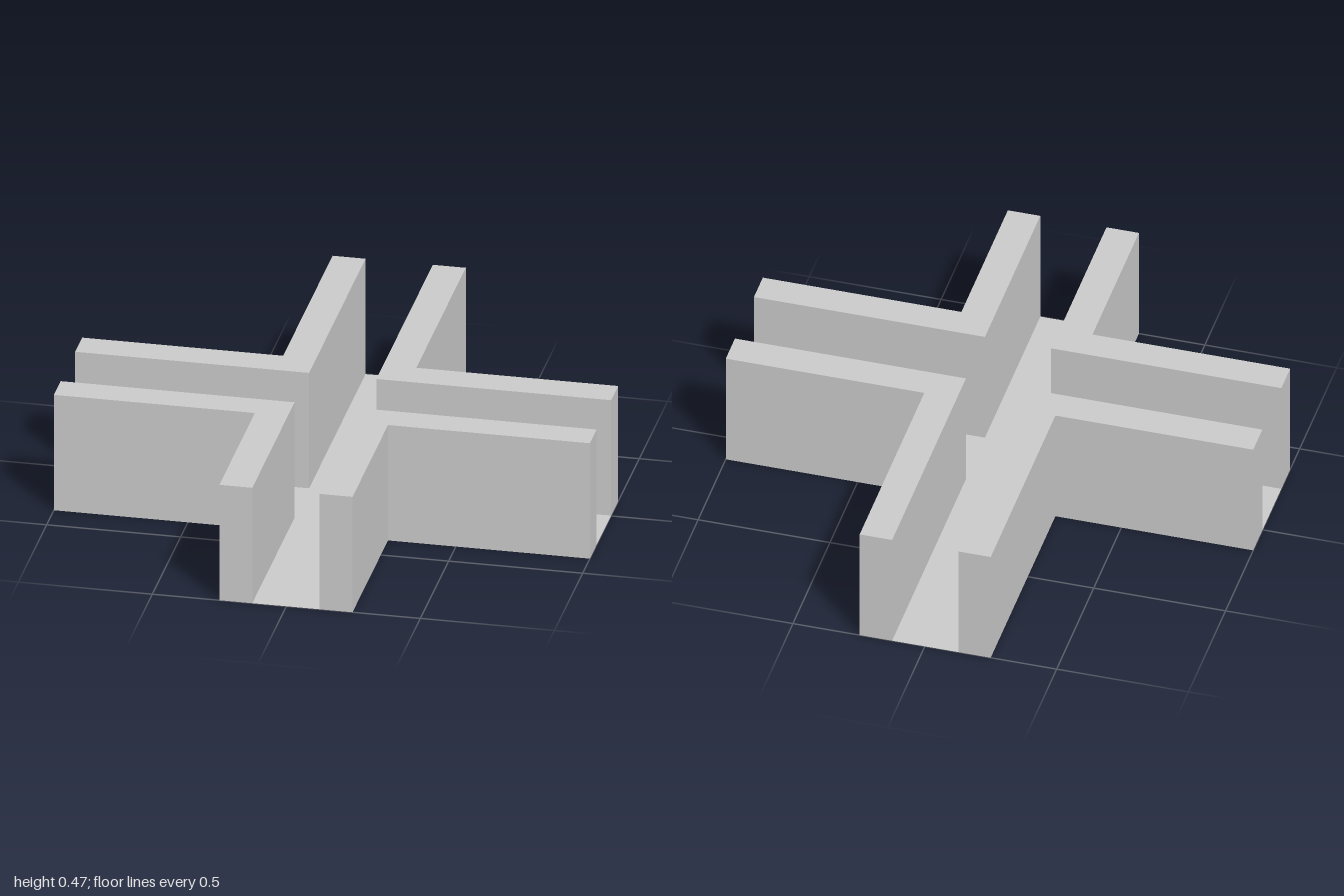
import * as THREE from 'three';

const HEIGHT = 0.466;
// channel edges (inner) and outer wall faces on each side
const X = { '-1': { inner: -0.127, outer: -0.25 }, '1': { inner: 0.124, outer: 0.247 } };
const Z = { '-1': { inner: -0.003, outer: -0.127 }, '1': { inner: 0.253, outer: 0.373 } };

const material = new THREE.MeshStandardMaterial({
  color: 0xcccccc, flatShading: true, side: THREE.DoubleSide,
});

// plan outline given as [x, z] points; shape y is -z so it lies flat after rotation
const planShape = (points) => new THREE.Shape(points.map(([x, z]) => new THREE.Vector2(x, -z)));

// drop the downward faces so the wall is hollow and open underneath
function openBottom(geometry) {
  const p = geometry.attributes.position, n = geometry.attributes.normal;
  const kept = [];
  for (let i = 0; i < p.count; i++) {
    if (n.getY(i) > -0.5) kept.push(p.getX(i), p.getY(i), p.getZ(i));
  }
  const result = new THREE.BufferGeometry();
  result.setAttribute('position', new THREE.Float32BufferAttribute(kept, 3));
  result.computeVertexNormals();
  return result;
}

// L-shaped wall around one corner of the crossing
function cornerWall(sx, sz) {
  const x = X[sx], z = Z[sz];
  const shape = planShape([
    [x.inner, z.inner], [sx, z.inner], [sx, z.outer],
    [x.outer, z.outer], [x.outer, sz], [x.inner, sz],
  ]);
  const geometry = new THREE.ExtrudeGeometry(shape, { depth: HEIGHT, bevelEnabled: false });
  geometry.rotateX(-Math.PI / 2);
  const wall = new THREE.Mesh(openBottom(geometry), material);
  wall.name = (sz > 0 ? 'front' : 'back') + (sx > 0 ? 'Left' : 'Right') + 'Wall';
  return wall;
}

// thin cross-shaped floor of the channels
function crossFloor() {
  const x0 = X[-1].inner, x1 = X[1].inner, z0 = Z[-1].inner, z1 = Z[1].inner;
  const geometry = new THREE.ShapeGeometry(planShape([
    [x0, 1], [x1, 1], [x1, z1], [1, z1], [1, z0], [x1, z0],
    [x1, -1], [x0, -1], [x0, z0], [-1, z0], [-1, z1], [x0, z1],
  ]));
  geometry.rotateX(-Math.PI / 2);
  const floor = new THREE.Mesh(geometry, material);
  floor.name = 'floor';
  return floor;
}

export function createModel() {
  const model = new THREE.Group();
  model.name = 'corridorCrossing';
  model.add(crossFloor());
  for (const sx of [-1, 1]) for (const sz of [-1, 1]) model.add(cornerWall(sx, sz));
  return model;
}
